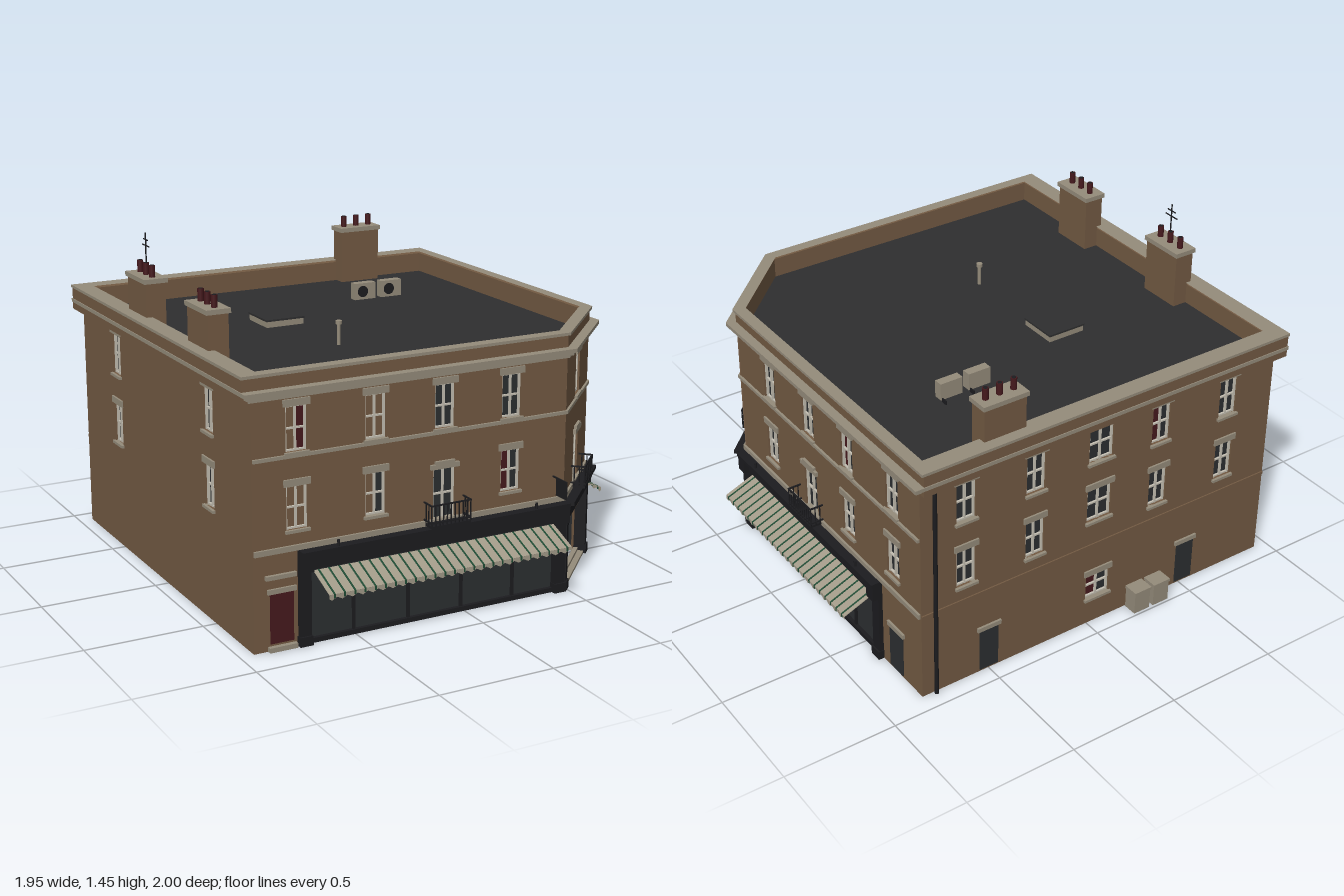
import * as THREE from 'three';

const mat = (name, color, side = THREE.FrontSide) => {
  const m = new THREE.MeshStandardMaterial({ color, side });
  m.name = name;
  return m;
};
const M = {
  brick: mat('brown brick', 0x735a43, THREE.DoubleSide),
  stone: mat('stone trim', 0x958c7b),
  roof: mat('roof felt', 0x2e2e2f, THREE.DoubleSide),
  black: mat('black paint', 0x1c1c1f),
  glass: mat('dark glass', 0x2c2f31, THREE.DoubleSide),
  red: mat('dark red', 0x46191d),
  awning: mat('awning cloth', 0xa39b89, THREE.DoubleSide),
  green: mat('green stripe', 0x1f4a33),
  frame: mat('window frame', 0xc4bfb2),
};

// Wall frame: local x runs along the wall, y up, z outward
const face = (parent, name, x, z, angle) => {
  const g = new THREE.Group();
  g.name = name;
  g.position.set(x, 0, z);
  g.rotation.y = angle;
  parent.add(g);
  return g;
};
const add = (parent, name, geo, material) => {
  const m = new THREE.Mesh(geo, material);
  m.name = name;
  parent.add(m);
  return m;
};
// Box given by its limits on each axis
const box = (p, name, m, x0, x1, y0, y1, z0, z1) => {
  const b = add(p, name, new THREE.BoxGeometry(x1 - x0, y1 - y0, z1 - z0), m);
  b.position.set((x0 + x1) / 2, (y0 + y1) / 2, (z0 + z1) / 2);
  return b;
};
const rod = (p, name, m, r, x, y0, y1, z, sides = 8) => {
  const c = add(p, name, new THREE.CylinderGeometry(r, r, y1 - y0, sides), m);
  c.position.set(x, (y0 + y1) / 2, z);
  return c;
};
const poly = (pts, T = THREE.Shape) => new T(pts.map(([x, y]) => new THREE.Vector2(x, y)));
const rect = (x0, x1, y0, y1) => [[x0, y0], [x1, y0], [x1, y1], [x0, y1]];

// Brick wall with openings [x0, x1, y0, y1]
const wall = (p, x0, x1, y0, y1, holes) => {
  const s = poly(rect(x0, x1, y0, y1));
  holes.forEach(h => s.holes.push(poly(rect(...h).reverse(), THREE.Path)));
  const g = new THREE.ExtrudeGeometry(s, { depth: 0.03, bevelEnabled: false });
  add(p, 'wall', g.translate(0, 0, -0.03), M.brick);
};

// Footprint with a cut corner, grown by d on the street sides and e on the left and back
const footprint = (d, e) => {
  const L = -0.94 - e, B = -0.92 - e, R = 0.82 + d, F = 0.85 + d, C = 1.325 + d * Math.SQRT2;
  return [[L, -B], [R, -B], [R, R - C], [C - F, -F], [L, -F]];
};
const ring = (p, name, m, y0, y1, d, e, inner) => {
  const s = poly(footprint(d, e));
  if (inner !== null) s.holes.push(poly(footprint(inner, inner), THREE.Path));
  const g = new THREE.ExtrudeGeometry(s, { depth: y1 - y0, bevelEnabled: false });
  add(p, name, g.rotateX(-Math.PI / 2).translate(0, y0, 0), m);
};

// Sash window: two columns and two rows of panes, with lintel and sill
const sash = (p, [x0, x1, y0, y1], left = M.glass, right = M.glass, trim = true) => {
  const g = new THREE.Group();
  g.name = 'sashWindow';
  p.add(g);
  const c = (x0 + x1) / 2, m = (y0 + y1) / 2, t = 0.007;
  box(g, 'leftPane', left, x0, c, y0, y1, -0.024, -0.019);
  box(g, 'rightPane', right, c, x1, y0, y1, -0.024, -0.019);
  for (const x of [x0, c - t / 2, x1 - t]) box(g, 'frameStile', M.frame, x, x + t, y0, y1, -0.026, -0.008);
  for (const y of [y0, m - t / 2, y1 - t]) box(g, 'frameRail', M.frame, x0, x1, y, y + t, -0.026, -0.01);
  if (!trim) return;
  box(g, 'lintel', M.stone, x0 - 0.012, x1 + 0.012, y1, y1 + 0.028, -0.01, 0.008);
  box(g, 'sill', M.stone, x0 - 0.008, x1 + 0.008, y0 - 0.012, y0, -0.02, 0.012);
};

// Iron balcony in front of a French window
const balcony = (p, c) => {
  const g = new THREE.Group();
  g.name = 'balcony';
  p.add(g);
  const w = 0.09, d = 0.062;
  box(g, 'balconyFloor', M.black, c - w, c + w, 0.4, 0.41, 0, d);
  for (const y of [0.42, 0.492]) {
    box(g, 'frontRail', M.black, c - w, c + w, y, y + 0.006, d - 0.006, d);
    for (const s of [-1, 1]) box(g, 'sideRail', M.black, c + s * w - 0.003, c + s * w + 0.003, y, y + 0.006, 0, d);
  }
  for (let i = 0; i <= 10; i++) rod(g, 'baluster', M.black, 0.003, c - w + i * w / 5, 0.41, 0.495, d - 0.003, 5);
  for (const s of [-1, 1]) for (const z of [0.015, 0.037]) rod(g, 'baluster', M.black, 0.003, c + s * w, 0.41, 0.495, z, 5);
};

// Shopfront with fascia, pilasters, glazing and a striped awning
const shop = (p, x0, x1, a0, a1) => {
  const g = new THREE.Group();
  g.name = 'shopfront';
  p.add(g);
  box(g, 'fascia', M.black, x0, x1, 0.31, 0.385, -0.01, 0.02);
  box(g, 'fasciaCornice', M.black, x0, x1, 0.38, 0.395, -0.01, 0.05);
  box(g, 'shopGlass', M.glass, x0 + 0.04, x1 - 0.04, 0.01, 0.31, -0.02, -0.01);
  box(g, 'stallRiser', M.black, x0 + 0.04, x1 - 0.04, 0, 0.02, -0.02, 0.006);
  for (const x of [x0, x1 - 0.05]) {
    box(g, 'pilaster', M.black, x, x + 0.05, 0, 0.31, -0.01, 0.02);
    box(g, 'pilasterBase', M.black, x - 0.003, x + 0.053, 0, 0.04, -0.01, 0.027);
    box(g, 'console', M.black, x, x + 0.05, 0.31, 0.39, 0, 0.045);
  }
  for (let i = 1; i < 5; i++) {
    const x = x0 + (x1 - x0) * i / 5;
    box(g, 'mullion', M.black, x - 0.006, x + 0.006, 0.02, 0.31, -0.015, 0);
  }
  for (const f of [0.13, 0.87]) rod(g, 'spotLamp', M.black, 0.006, x0 + (x1 - x0) * f, 0.39, 0.42, 0.035);

  const aw = new THREE.Group();
  aw.name = 'awning';
  aw.position.set(0, 0.305, 0.015);
  g.add(aw);
  const drop = Math.atan2(0.055, 0.135), len = 0.146;
  const slope = new THREE.Group();
  slope.name = 'awningSlope';
  slope.rotation.x = drop;
  aw.add(slope);
  box(slope, 'awningSheet', M.awning, a0, a1, -0.003, 0, 0, len);
  const n = Math.round((a1 - a0) / 0.044);
  const pts = [[a0, 0]];
  for (let i = 0; i <= n * 4; i++) pts.push([a0 + (a1 - a0) * i / (n * 4), -0.018 - 0.006 * Math.sin(i * Math.PI / 2)]);
  pts.push([a1, 0]);
  const v = add(aw, 'awningValance', new THREE.ShapeGeometry(poly(pts)), M.awning);
  v.position.set(0, -0.055, 0.135);
  for (let i = 0; i < n; i++) {
    const x = a0 + (a1 - a0) * (i + 0.5) / n;
    box(slope, 'awningStripe', M.green, x - 0.004, x + 0.004, -0.004, 0.001, 0, len);
    box(aw, 'valanceStripe', M.green, x - 0.004, x + 0.004, -0.071, -0.055, 0.134, 0.136);
  }
};

const door = (p, c, w, y0, y1, m) => {
  box(p, 'door', m, c - w / 2, c + w / 2, y0, y1, -0.01, 0.005);
  box(p, 'doorLintel', M.stone, c - w / 2 - 0.012, c + w / 2 + 0.012, y1, y1 + 0.02, -0.01, 0.01);
};

const chimney = (p, x0, x1, z0, z1) => {
  const g = new THREE.Group();
  g.name = 'chimney';
  p.add(g);
  box(g, 'chimneyStack', M.brick, x0 + 0.008, x1 - 0.008, 1, 1.255, z0 + 0.008, z1 - 0.008);
  box(g, 'chimneyCap', M.stone, x0, x1, 1.252, 1.272, z0, z1);
  const alongX = x1 - x0 > z1 - z0;
  for (const k of [-1, 0, 1]) {
    const x = (x0 + x1) / 2 + (alongX ? k * 0.065 : 0), z = (z0 + z1) / 2 + (alongX ? 0 : k * 0.065);
    rod(g, 'chimneyPot', M.red, 0.013, x, 1.27, 1.322, z, 12);
    rod(g, 'potMouth', M.black, 0.009, x, 1.32, 1.3235, z, 12);
  }
};

export function createModel() {
  const root = new THREE.Group();
  root.name = 'cornerBuilding';
  const G = M.glass, BR = M.brick, RD = M.red, q = Math.PI / 2;
  const win = (c, y0, y1, w = 0.09) => [c - w / 2, c + w / 2, y0, y1];
  const up = c => win(c, 0.79, 0.97), low = c => win(c, 0.48, 0.655), french = c => win(c, 0.41, 0.625, 0.1);

  // Street walls
  const front = face(root, 'frontSide', 0, 0.85, 0);
  const right = face(root, 'rightSide', 0.82, 0, q);
  const corner = face(root, 'cornerSide', 0.65, 0.675, q / 2);
  const street = (p, x0, x1, y0, windows, doorAt, extra) => {
    const frenchWindow = french(doorAt);
    wall(p, x0, x1, y0, 1.04, [...windows.map(w => w[0]), frenchWindow, ...extra]);
    windows.forEach(w => sash(p, ...w));
    sash(p, frenchWindow, G, G, false);
    box(p, 'frenchLintel', M.stone, doorAt - 0.065, doorAt + 0.065, 0.625, 0.645, -0.01, 0.012);
    box(p, 'frenchLintelCrown', M.stone, doorAt - 0.045, doorAt + 0.045, 0.645, 0.657, -0.01, 0.012);
    balcony(p, doorAt);
  };
  street(front, -0.94, 0.475, 0, [
    [up(-0.75), BR, RD], [up(-0.41), BR, BR], [up(-0.1)], [up(0.21)],
    [low(-0.75), BR, BR], [low(-0.41), BR, G], [low(0.21), RD, G],
  ], -0.1, [[-0.72, 0.45, 0.01, 0.34]]);
  street(right, -0.505, 0.92, 0, [
    [up(-0.24)], [up(0.08)], [up(0.385), RD, G], [up(0.72)],
    [low(-0.24)], [low(0.385)], [low(0.72)],
  ], 0.08, [[-0.47, 0.6, 0.01, 0.34]]);
  street(corner, -0.245, 0.245, 0.3, [[up(0)]], 0, []);

  shop(front, -0.75, 0.48, -0.69, 0.42);
  shop(right, -0.5, 0.63, -0.43, 0.58);

  // Side doors on the street
  door(front, -0.82, 0.1, 0.03, 0.235, M.red);
  box(front, 'doorHead', M.stone, -0.89, -0.76, 0.295, 0.312, -0.01, 0.015);
  box(front, 'doorStep', M.stone, -0.88, -0.76, 0, 0.02, 0, 0.02);
  door(right, 0.735, 0.095, 0.01, 0.212, M.glass);

  // Open corner entrance
  box(corner, 'entranceFascia', M.black, -0.25, 0.25, 0.305, 0.385, -0.02, 0.02);
  box(corner, 'entranceCornice', M.black, -0.265, 0.265, 0.38, 0.395, -0.02, 0.05);
  for (const s of [-1, 1]) {
    box(corner, 'entrancePier', M.black, s * 0.23 - 0.018, s * 0.23 + 0.018, 0, 0.31, -0.03, 0.02);
    box(corner, 'pierBase', M.black, s * 0.23 - 0.022, s * 0.23 + 0.022, 0, 0.04, -0.03, 0.026);
  }
  box(corner, 'entranceStep', M.stone, -0.215, 0.215, 0, 0.012, -0.03, 0.015);
  box(corner, 'entranceSill', M.stone, -0.215, 0.215, 0.012, 0.025, -0.03, -0.01);
  box(corner, 'hangingBoard', M.brick, -0.1, 0.1, 0.272, 0.306, -0.005, 0.005);

  // Projecting sign
  box(front, 'signPlate', M.black, 0.416, 0.424, 0.435, 0.505, 0.03, 0.1);
  box(front, 'signBracket', M.black, 0.417, 0.423, 0.505, 0.511, 0, 0.1);

  // Back wall
  const back = face(root, 'backSide', 0, -0.92, Math.PI);
  const backWindows = [
    [up(-0.61)], [up(-0.28)], [up(0.345), RD, G], [up(0.7)],
    [low(-0.61)], [low(-0.28)], [low(0.345)], [low(0.7)],
    [win(0.04, 0.82, 0.98, 0.12)], [win(0.04, 0.53, 0.69, 0.12)], [win(0.05, 0.13, 0.25, 0.12), RD, G],
  ];
  wall(back, -0.82, 0.94, 0, 1.04, backWindows.map(w => w[0]));
  backWindows.forEach(w => sash(back, ...w));
  box(back, 'brickBand', M.brick, -0.82, 0.94, 0.4, 0.412, 0, 0.006);
  for (const c of [-0.5, 0.52]) door(back, c, 0.09, 0.01, 0.21, M.glass);
  for (const x of [0.2, 0.3]) {
    box(back, 'bin', M.stone, x, x + 0.08, 0.008, 0.105, 0.012, 0.075);
    box(back, 'binLid', M.stone, x - 0.003, x + 0.083, 0.105, 0.118, 0.01, 0.08);
  }
  rod(back, 'drainPipe', M.black, 0.009, -0.76, 0, 1.03, 0.012);

  // Left wall
  const left = face(root, 'leftSide', -0.94, 0, -q);
  const leftWindows = [up(-0.52), up(0.46), low(-0.52), low(0.46)];
  wall(left, -0.92, 0.85, 0, 1.04, leftWindows);
  leftWindows.forEach(w => sash(left, w));

  // String courses, cornice, parapet and roof
  ring(root, 'lowerBand', M.stone, 0.396, 0.418, 0.01, -0.005, -0.02);
  ring(root, 'upperBand', M.stone, 0.768, 0.782, 0.01, -0.005, -0.02);
  ring(root, 'corniceLow', M.stone, 1.005, 1.018, 0.012, 0.01, -0.03);
  ring(root, 'corniceMiddle', M.stone, 1.018, 1.032, 0.028, 0.025, -0.03);
  ring(root, 'corniceTop', M.stone, 1.032, 1.048, 0.042, 0.04, -0.03);
  ring(root, 'parapet', M.brick, 1.0, 1.1, 0.002, 0.036, -0.035);
  ring(root, 'coping', M.stone, 1.098, 1.11, 0.012, 0.04, -0.04);
  ring(root, 'roofDeck', M.roof, 1.0, 1.012, -0.03, -0.03, null);

  // Chimneys and aerial
  chimney(root, 0.32, 0.53, -0.92, -0.82);
  chimney(root, -0.935, -0.83, -0.395, -0.18);
  chimney(root, -0.935, -0.83, 0.24, 0.455);
  rod(root, 'aerialMast', M.black, 0.003, -0.882, 1.27, 1.45, -0.285, 6);
  for (const [y, w] of [[1.42, 0.025], [1.395, 0.038]])
    box(root, 'aerialBar', M.black, -0.884, -0.88, y - 0.002, y + 0.002, -0.285 - w, -0.285 + w);

  // Roof hatch, cooling units and vent
  box(root, 'hatchCurb', M.stone, -0.39, -0.215, 1.01, 1.038, -0.33, -0.155);
  box(root, 'hatchLid', M.roof, -0.393, -0.212, 1.038, 1.046, -0.333, -0.152);
  for (const x of [0.18, 0.315]) {
    box(root, 'coolingUnit', M.stone, x, x + 0.105, 1.02, 1.095, -0.46, -0.42);
    const fan = add(root, 'coolingFan', new THREE.CylinderGeometry(0.026, 0.026, 0.004, 20), M.black);
    fan.rotation.x = q;
    fan.position.set(x + 0.04, 1.057, -0.419);
    box(root, 'coolingPipe', M.black, x + 0.095, x + 0.1, 1.012, 1.03, -0.49, -0.46);
  }
  rod(root, 'ventPipe', M.stone, 0.008, -0.255, 1.01, 1.105, 0.25, 10);
  rod(root, 'ventCap', M.stone, 0.014, -0.255, 1.1, 1.115, 0.25, 10);
  return root;
}
